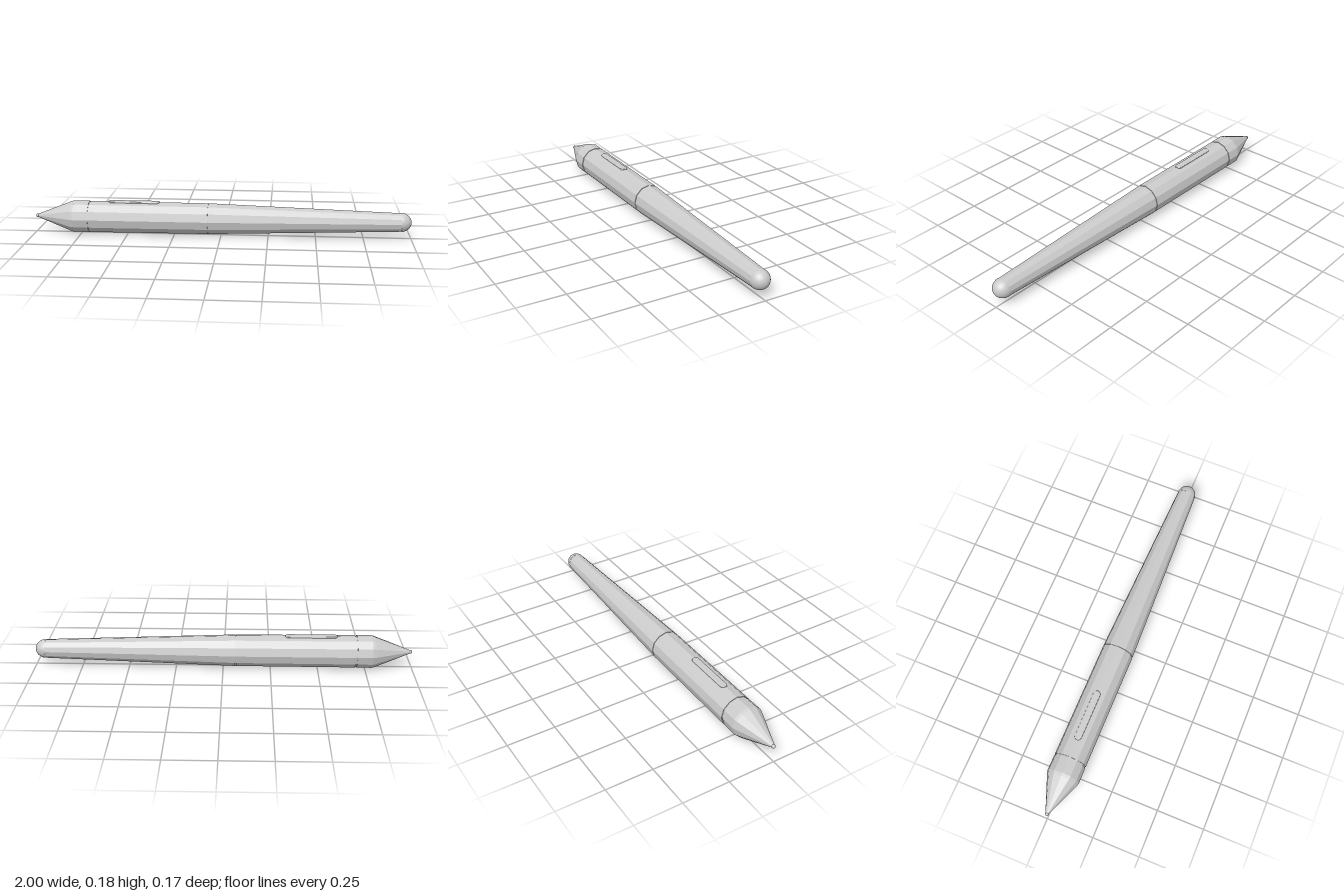
import * as THREE from 'three';

const SIDES = 12;
const AXIS_Y = 0.087;

export function createModel() {
  const group = new THREE.Group();
  const flat = new THREE.MeshStandardMaterial({ color: 0xcccccc, flatShading: true });
  const smooth = new THREE.MeshStandardMaterial({ color: 0xcccccc });

  const add = (name, geometry, material) => {
    const mesh = new THREE.Mesh(geometry, material);
    mesh.name = name;
    group.add(mesh);
    return mesh;
  };

  // Faceted section along x, from x0 (radius r0) to x1 (radius r1)
  const section = (name, x0, r0, x1, r1) => {
    const geometry = new THREE.CylinderGeometry(r1, r0, x1 - x0, SIDES);
    geometry.rotateZ(-Math.PI / 2);
    add(name, geometry, flat).position.set((x0 + x1) / 2, AXIS_Y, 0);
  };

  // Pointed front end with a small rounded nib
  section('tipCone', -0.99, 0.008, -0.8, 0.083);
  add('nib', new THREE.SphereGeometry(0.01, 16, 12), smooth).position.set(-0.99, AXIS_Y, 0);

  // Collar with softened edges, then the straight grip
  section('collarFrontEdge', -0.8, 0.083, -0.785, 0.087);
  section('collar', -0.785, 0.087, -0.705, 0.086);
  section('collarGroove', -0.705, 0.083, -0.697, 0.083);
  section('grip', -0.697, 0.086, -0.068, 0.084);
  section('seam', -0.068, 0.081, -0.064, 0.081);

  // Long tapered rear barrel closed by a smooth dome
  section('rearBarrel', -0.064, 0.084, 0.945, 0.05);
  const dome = new THREE.SphereGeometry(0.05, 32, 16, 0, Math.PI * 2, 0, Math.PI / 2);
  dome.rotateZ(-Math.PI / 2);
  const end = add('endDome', dome, smooth);
  end.position.set(0.945, AXIS_Y, 0);
  end.scale.x = 1.1;

  // Slim side switch on top of the grip, with rounded ends
  const half = 0.12, r = 0.012;
  const outline = new THREE.Shape();
  outline.absarc(half, 0, r, -Math.PI / 2, Math.PI / 2);
  outline.absarc(-half, 0, r, Math.PI / 2, Math.PI * 1.5);
  const switchGeometry = new THREE.ExtrudeGeometry(outline, {
    depth: 0.012, bevelSize: 0.006, bevelThickness: 0.004, bevelSegments: 3, curveSegments: 8,
  });
  switchGeometry.rotateX(-Math.PI / 2);
  add('sideSwitch', switchGeometry, smooth).position.set(-0.465, 0.16, 0);

  return group;
}
